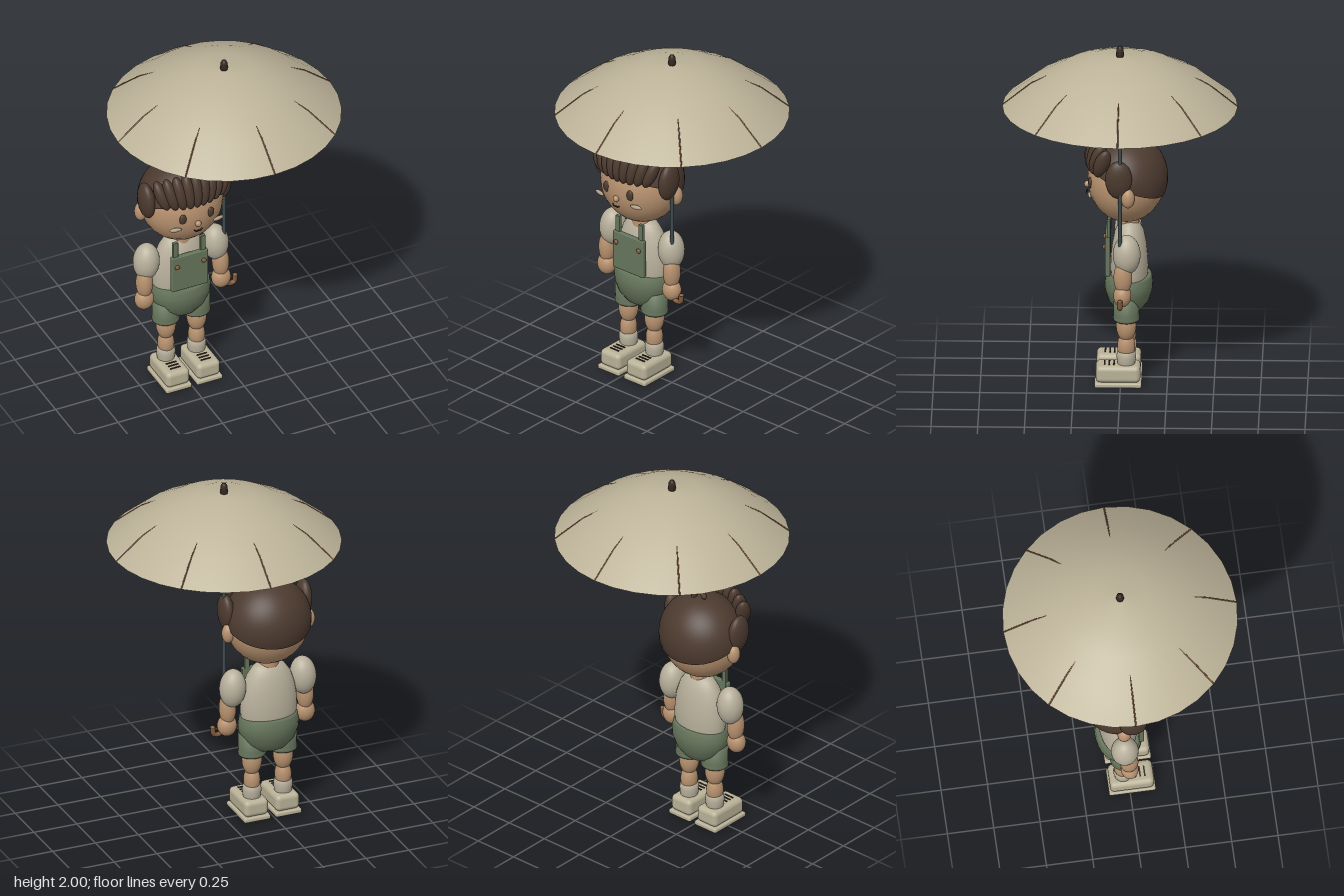
import * as THREE from 'three';
import { RoundedBoxGeometry } from 'three/addons/geometries/RoundedBoxGeometry.js';

const mat = (name, color, side = THREE.FrontSide) => {
  const m = new THREE.MeshStandardMaterial({ color, side });
  m.name = name;
  return m;
};

export function createModel() {
  const canopyMat = mat('canopy beige', 0xbdb399, THREE.DoubleSide);
  const skin = mat('skin', 0xb8926f);
  const hair = mat('hair brown', 0x4c3a2f, THREE.DoubleSide);
  const green = mat('overall green', 0x66755c);
  const shirt = mat('shirt cream', 0xb8b09c);
  const shoe = mat('shoe cream', 0xb9b197);
  const steel = mat('pole slate', 0x3e4b4e);
  const wood = mat('wood brown', 0x80593a);
  const dark = mat('dark brown', 0x33271f);
  const blush = mat('cheek beige', 0xbaa88e);

  const root = new THREE.Group();
  root.name = 'childWithUmbrella';
  const add = (parent, name, geo, material, x = 0, y = 0, z = 0) => {
    const m = new THREE.Mesh(geo, material);
    m.name = name;
    m.position.set(x, y, z);
    parent.add(m);
    return m;
  };
  const ball = new THREE.SphereGeometry(1, 28, 20);
  const blob = (parent, name, material, x, y, z, rx, ry, rz) => {
    const m = add(parent, name, ball, material, x, y, z);
    m.scale.set(rx, ry, rz);
    return m;
  };
  const tube = (pts, r, n = 24, sides = 8) => new THREE.TubeGeometry(
    new THREE.CatmullRomCurve3(pts.map(p => new THREE.Vector3(...p))), n, r, sides);
  const lathe = (pts, n = 32) => new THREE.LatheGeometry(pts.map(p => new THREE.Vector2(...p)), n);

  // ---------- Umbrella, on the centre axis ----------
  const umbrella = new THREE.Group();
  umbrella.name = 'umbrella';
  root.add(umbrella);
  const profile = [[0.63, 1.655], [0.476, 1.78], [0.312, 1.87], [0.16, 1.925], [0.0, 1.94]];
  add(umbrella, 'canopy', lathe(profile, 32), canopyMat);
  const ribs = new THREE.CurvePath();
  for (let i = 0; i < 4; i++) {
    const [a, b] = [profile[i], profile[i + 1]];
    const drop = k => (k <= 1 ? 0.001 : 0.008);
    ribs.add(new THREE.LineCurve3(new THREE.Vector3(a[0], a[1] - drop(i), 0),
      new THREE.Vector3(b[0], b[1] - drop(i + 1), 0)));
  }
  const ribGeo = new THREE.TubeGeometry(ribs, 24, 0.0045, 6);
  for (let i = 0; i < 8; i++) add(umbrella, 'rib', ribGeo, wood).rotation.y = i * Math.PI / 4;
  add(umbrella, 'pole', new THREE.CylinderGeometry(0.01, 0.01, 1.4, 12), steel, 0, 1.23, 0);
  add(umbrella, 'ferrule', lathe([[0, 1.925], [0.018, 1.93], [0.021, 1.95], [0.019, 1.98],
    [0.011, 1.995], [0, 2]], 16), dark);
  add(umbrella, 'hookHandle', tube([[0, 0.56, 0], [0.005, 0.525, 0], [0.035, 0.508, 0],
    [0.06, 0.515, 0], [0.066, 0.555, 0]], 0.014, 20, 8), wood);
  blob(umbrella, 'hookTip', wood, 0.066, 0.555, 0, 0.014, 0.008, 0.014);

  // ---------- Child, standing beside the pole ----------
  const child = new THREE.Group();
  child.name = 'child';
  child.position.x = -0.24;
  root.add(child);

  // Head and face
  blob(child, 'head', skin, 0, 1.145, -0.03, 0.229, 0.235, 0.208);
  blob(child, 'nose', skin, 0, 1.11, 0.18, 0.017, 0.018, 0.017);
  add(child, 'mouth', tube([[-0.025, 1.072, 0.178], [-0.012, 1.064, 0.182], [0, 1.067, 0.184],
    [0.012, 1.064, 0.182], [0.025, 1.072, 0.178]], 0.004, 16, 6), dark);
  for (const s of [-1, 1]) {
    blob(child, 'eye', hair, s * 0.082, 1.15, 0.162, 0.021, 0.031, 0.012);
    const cheek = blob(child, 'cheek', blush, s * 0.127, 1.096, 0.165, 0.034, 0.013, 0.008);
    cheek.rotation.y = s * 0.2;
    blob(child, 'ear', skin, s * 0.235, 1.12, -0.042, 0.034, 0.055, 0.036);
  }

  // Hair: tilted cap, fringe, side locks and curl
  const cap = new THREE.SphereGeometry(1, 36, 16, 0, Math.PI * 2, 0, Math.PI / 2);
  cap.rotateX(-0.38);
  add(child, 'hairCap', cap, hair, 0, 1.157, -0.03).scale.set(0.24, 0.235, 0.222);
  for (let i = 0; i < 9; i++) {
    const t = i / 4 - 1;
    const lock = blob(child, 'fringeLock', hair, t * 0.178, 1.313 - 0.018 * t * t,
      0.148 - 0.05 * t * t, 0.035, 0.104 - 0.014 * t * t, 0.043);
    lock.rotation.set(-0.2, t * 0.4, -t * 0.3);
  }
  for (const s of [-1, 1]) {
    const lock = blob(child, 'sideLock', hair, s * 0.225, 1.222, 0.008, 0.042, 0.108, 0.072);
    lock.rotation.z = -s * 0.05;
  }
  add(child, 'hairCurl', tube([[0.03, 1.37, -0.06], [0.025, 1.405, -0.06], [0, 1.431, -0.06],
    [-0.025, 1.43, -0.06], [-0.043, 1.41, -0.06]], 0.016, 20, 10), hair);
  blob(child, 'curlTip', hair, -0.043, 1.41, -0.06, 0.015, 0.015, 0.015);

  // Neck and shirt
  add(child, 'neck', new THREE.CylinderGeometry(0.055, 0.06, 0.1, 24), skin, 0, 0.91, -0.04);
  add(child, 'shirt', lathe([[0.152, 0.58], [0.161, 0.63], [0.158, 0.7], [0.147, 0.77],
    [0.125, 0.84], [0.09, 0.89], [0.055, 0.912], [0, 0.915]]), shirt, 0, 0, -0.045)
    .scale.z = 0.63;

  // Shorts
  add(child, 'shortsSeat', lathe([[0, 0.382], [0.05, 0.387], [0.1, 0.41], [0.143, 0.455],
    [0.167, 0.515], [0.17, 0.555], [0.163, 0.595], [0.155, 0.602], [0, 0.604]]), green, 0, 0, -0.042)
    .scale.z = 0.76;

  // Bib with straps and buttons
  add(child, 'bib', new RoundedBoxGeometry(0.213, 0.222, 0.028, 3, 0.006), green, 0, 0.73, 0.069);

  for (const s of [-1, 1]) {
    add(child, 'strap', new RoundedBoxGeometry(0.03, 0.12, 0.02, 2, 0.004), green, s * 0.081, 0.873, 0.064);
    blob(child, 'button', wood, s * 0.079, 0.78, 0.088, 0.014, 0.014, 0.009);

    // Arm
    const sleeve = blob(child, 'sleeve', shirt, s * 0.205, 0.785, -0.035, 0.072, 0.109, 0.074);
    sleeve.rotation.z = s * 0.06;
    blob(child, 'forearm', skin, s * 0.226, 0.662, -0.015, 0.046, 0.098, 0.05);
    blob(child, 'hand', skin, s * 0.228, 0.558, -0.012, 0.054, 0.062, 0.048);

    // Leg
    const x = s * 0.091;
    add(child, 'shortsLeg', lathe([[0, 0.368], [0.07, 0.368], [0.076, 0.374], [0.077, 0.385],
      [0.074, 0.4], [0.076, 0.5], [0, 0.53]], 28), green, x, 0, -0.031).scale.z = 0.93;
    blob(child, 'thigh', skin, x, 0.333, -0.03, 0.054, 0.088, 0.054);
    blob(child, 'calf', skin, x, 0.215, -0.03, 0.045, 0.08, 0.048);
    add(child, 'sock', lathe([[0.043, 0.1], [0.049, 0.13], [0.052, 0.16], [0.049, 0.185],
      [0.04, 0.192], [0, 0.192]], 24), shirt, x, 0, -0.03);

    // Shoe
    add(child, 'sole', new RoundedBoxGeometry(0.152, 0.028, 0.252, 3, 0.01), shoe, x, 0.014, 0.013);
    add(child, 'shoeUpper', new RoundedBoxGeometry(0.138, 0.094, 0.238, 4, 0.026), shoe, x, 0.072, 0.013);
    for (const z of [0.035, 0.06, 0.085])
      add(child, 'lace', new THREE.BoxGeometry(0.06, 0.006, 0.008), dark, x, 0.12, z);
  }
  return root;
}
